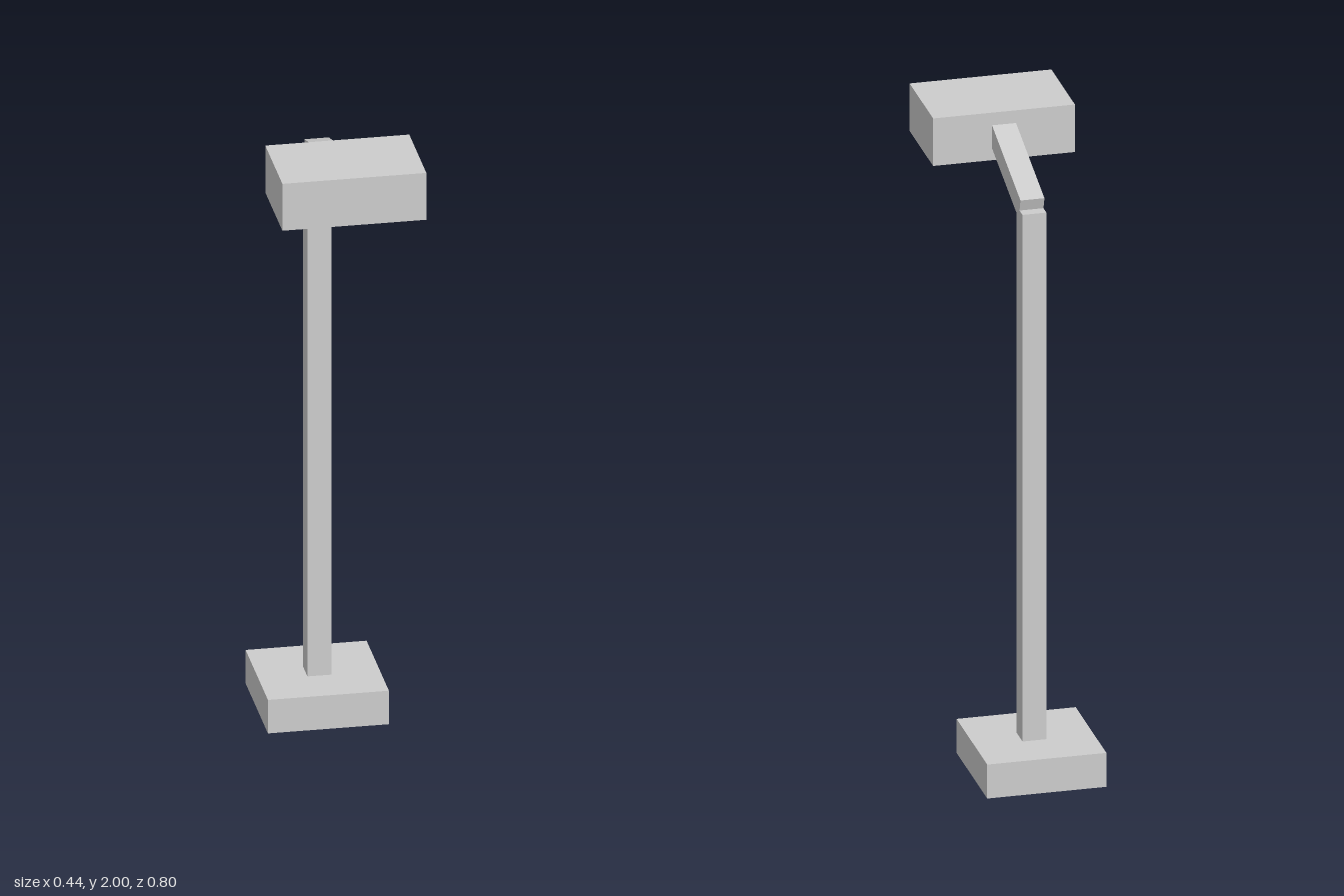
import * as THREE from 'three';

export function createModel() {
  const model = new THREE.Group();
  model.name = 'streetLamp';
  const grey = new THREE.MeshStandardMaterial({ color: 0xcccccc });
  grey.name = 'grey';

  // Box given by its extents along each axis
  function box(name, [x0, x1], [y0, y1], [z0, z1]) {
    const mesh = new THREE.Mesh(new THREE.BoxGeometry(x1 - x0, y1 - y0, z1 - z0), grey);
    mesh.name = name;
    mesh.position.set((x0 + x1) / 2, (y0 + y1) / 2, (z0 + z1) / 2);
    model.add(mesh);
    return mesh;
  }

  box('base', [-0.184, 0.184], [0, 0.11], [-0.398, -0.03]);
  box('pole', [-0.037, 0.037], [0.11, 1.816], [-0.25, -0.176]);
  box('lampHead', [-0.219, 0.219], [1.846, 2], [0.116, 0.398]);
  box('lightPanel', [-0.18, 0.18], [1.839, 1.847], [0.172, 0.372]);

  // Sloping arm, running from the pole top into the lamp head
  const tilt = THREE.MathUtils.degToRad(17.2);
  const length = 0.42;
  const thickness = 0.071;
  const arm = box('arm', [-0.037, 0.037], [0, thickness], [0, length]);
  arm.geometry.translate(0, -thickness / 2, length / 2);
  arm.position.set(0, 1.853, -0.226); // upper rear edge
  arm.rotation.x = -tilt;

  return model;
}
